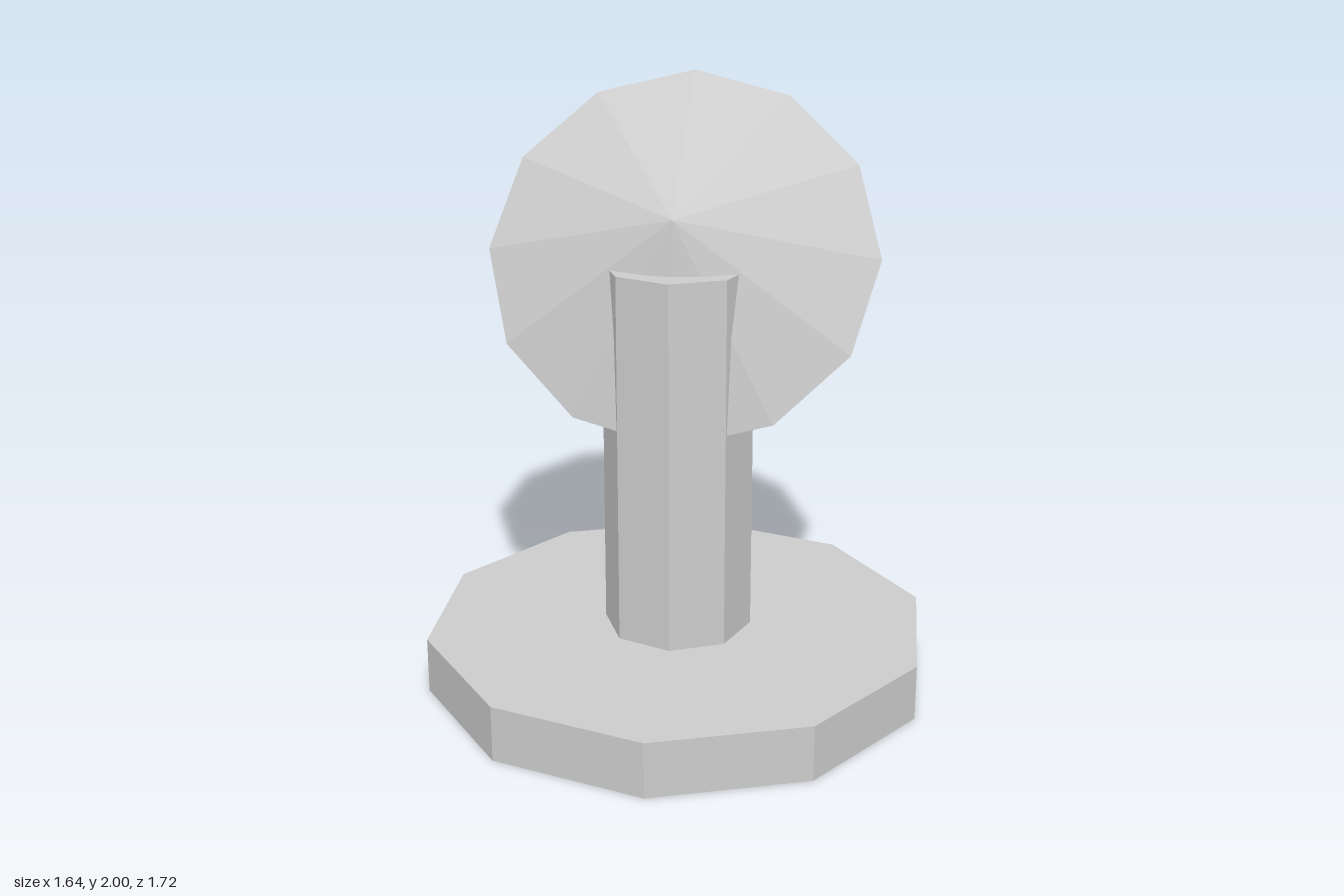
import * as THREE from 'three';

export function createModel() {
  const model = new THREE.Group();
  const grey = new THREE.MeshStandardMaterial({ color: 0xcccccc, flatShading: true });
  grey.name = 'light grey';

  const add = (parent, name, geometry, y) => {
    const mesh = new THREE.Mesh(geometry, grey);
    mesh.name = name;
    mesh.position.y = y;
    parent.add(mesh);
    return mesh;
  };

  // ten-sided foot and eight-sided column
  add(model, 'base', new THREE.CylinderGeometry(0.86, 0.86, 0.19, 10), 0.095);
  add(model, 'column', new THREE.CylinderGeometry(0.25, 0.25, 1.26, 8), 0.82);

  // tilted head: its origin is the centre of the dish rim, its y axis points out of the dish
  const head = new THREE.Group();
  head.name = 'head';
  head.position.set(0, 1.445, -0.15);
  head.rotation.x = 1.0145;
  model.add(head);
  add(head, 'dish', new THREE.ConeGeometry(0.654, 0.35, 12), 0.175);
  add(head, 'rearBracket', new THREE.BoxGeometry(0.075, 0.2, 0.634), -0.1);

  return model;
}
